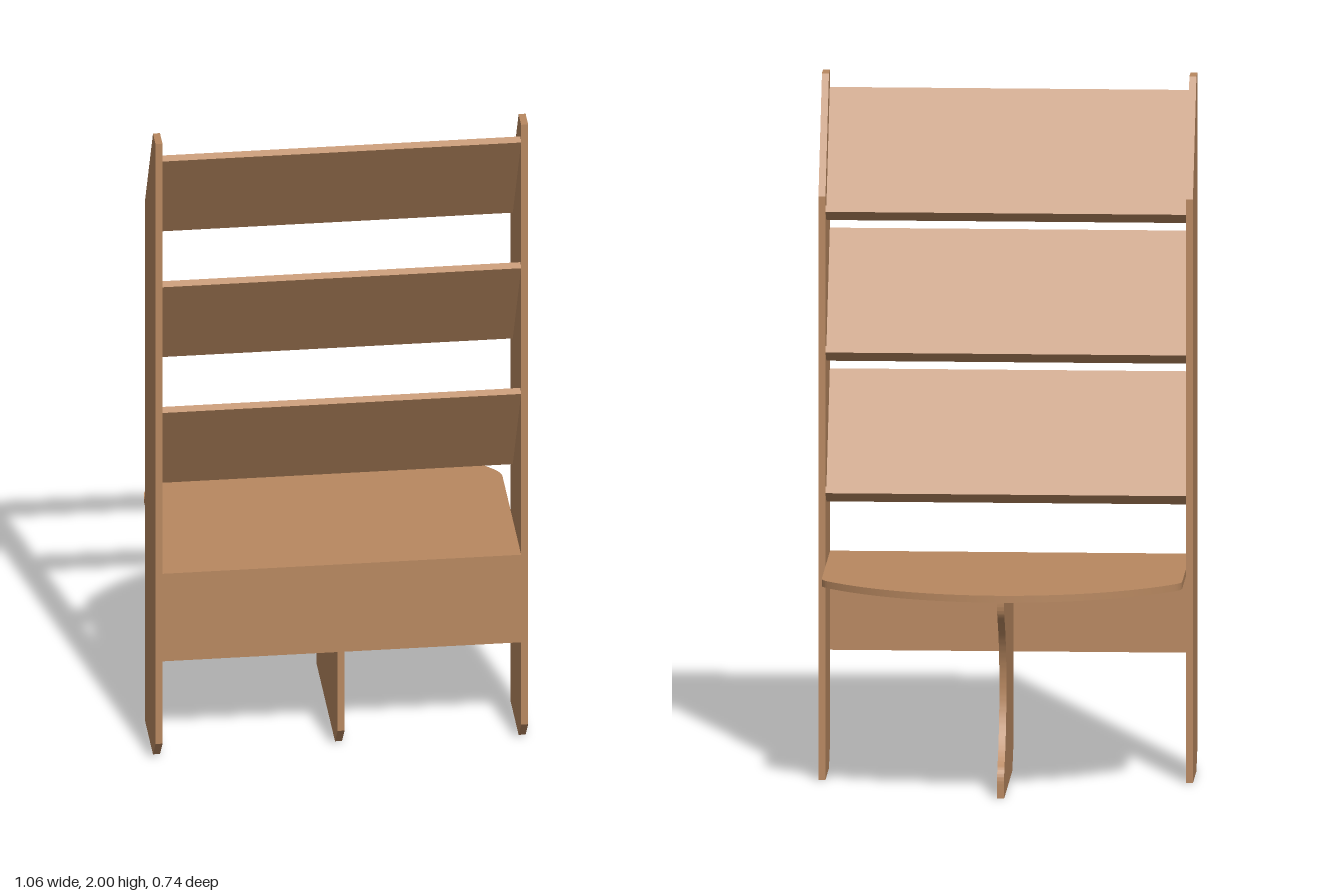
import * as THREE from 'three';
import { toCreasedNormals } from 'three/addons/utils/BufferGeometryUtils.js';

const T = 0.02;        // board thickness
const INNER = 0.512;   // half the width between the side panels

export function createModel() {
  const group = new THREE.Group();
  group.name = 'displayShelfWithTable';
  const wood = new THREE.MeshStandardMaterial({ color: 0xb88860 });
  wood.name = 'wood';

  const add = (name, geometry, x = 0, y = 0, z = 0) => {
    const mesh = new THREE.Mesh(geometry, wood);
    mesh.name = name;
    mesh.position.set(x, y, z);
    group.add(mesh);
  };
  const polygon = (points) => new THREE.Shape(points.map(([a, b]) => new THREE.Vector2(a, b)));
  const board = (shape, depth) => new THREE.ExtrudeGeometry(shape, { depth, bevelEnabled: false, curveSegments: 32 });
  // Extrude a (z, y) profile along x, centred on x = 0
  const alongX = (shape, width) =>
    toCreasedNormals(board(shape, width).translate(0, 0, -width / 2).rotateY(-Math.PI / 2), 0.5);

  // Side panels with sloped top and chamfered foot
  const side = polygon([[0.1, 0], [0.3, 0], [0.365, 0.068], [0.365, 2], [0.3, 2], [0.1, 1.68]]);
  for (const [name, s] of [['leftSidePanel', 1], ['rightSidePanel', -1]]) {
    add(name, alongX(side, T), s * (INNER + T / 2));
  }

  // Tilted shelves: an L profile of a leaning board with a ledge at its lower edge
  const d = new THREE.Vector2(0.53, 0.848);   // up the slope
  const n = new THREE.Vector2(-0.848, 0.53);  // out of the display face
  const L = 0.38, LIP = 0.041;
  const profile = [[0, 0], [-L, 0], [-L, LIP], [-L - T, LIP], [-L - T, -T], [0, -T]]
    .map(([a, b]) => [a * d.x + b * n.x, a * d.y + b * n.y]);
  const shelf = alongX(polygon(profile), INNER * 2);
  [1.143, 1.548, 1.953].forEach((y, i) => add('tiltedShelf' + (i + 1), shelf, 0, y, 0.347));

  // Apron across the front
  add('frontApron', new THREE.BoxGeometry(INNER * 2, 0.282, T), 0, 0.474, 0.355);

  // Table top: straight sides, rounded corners, bowed back edge
  const R = 0.667, cz = 0.297, ax = 0.49;
  const az = cz - Math.sqrt(R * R - ax * ax);
  const top = new THREE.Shape();
  top.moveTo(-INNER, 0.345);
  top.lineTo(-INNER, -0.108);
  top.quadraticCurveTo(-INNER, -0.132, -ax, az);
  top.absarc(0, cz, R, Math.atan2(az - cz, -ax), Math.atan2(az - cz, ax), false);
  top.quadraticCurveTo(INNER, -0.132, INNER, -0.108);
  top.lineTo(INNER, 0.345);
  add('tableTop', toCreasedNormals(board(top, T).rotateX(Math.PI / 2), 0.5), 0, 0.615, 0);

  // Centre support with a scooped back edge
  const r = 0.258, ac = -0.315, half = Math.asin(0.21 / r);
  const leg = new THREE.Shape();
  leg.moveTo(-0.187, 0);
  leg.lineTo(0.28, 0);
  leg.lineTo(0.345, 0.068);
  leg.lineTo(0.345, 0.595);
  leg.lineTo(-0.187, 0.595);
  leg.lineTo(-0.187, 0.56);
  leg.quadraticCurveTo(-0.187, 0.525, ac + r * Math.cos(half), 0.51);
  leg.absarc(ac, 0.3, r, half, -half, true);
  leg.quadraticCurveTo(-0.187, 0.075, -0.187, 0.04);
  add('centreSupport', alongX(leg, T));

  return group;
}
